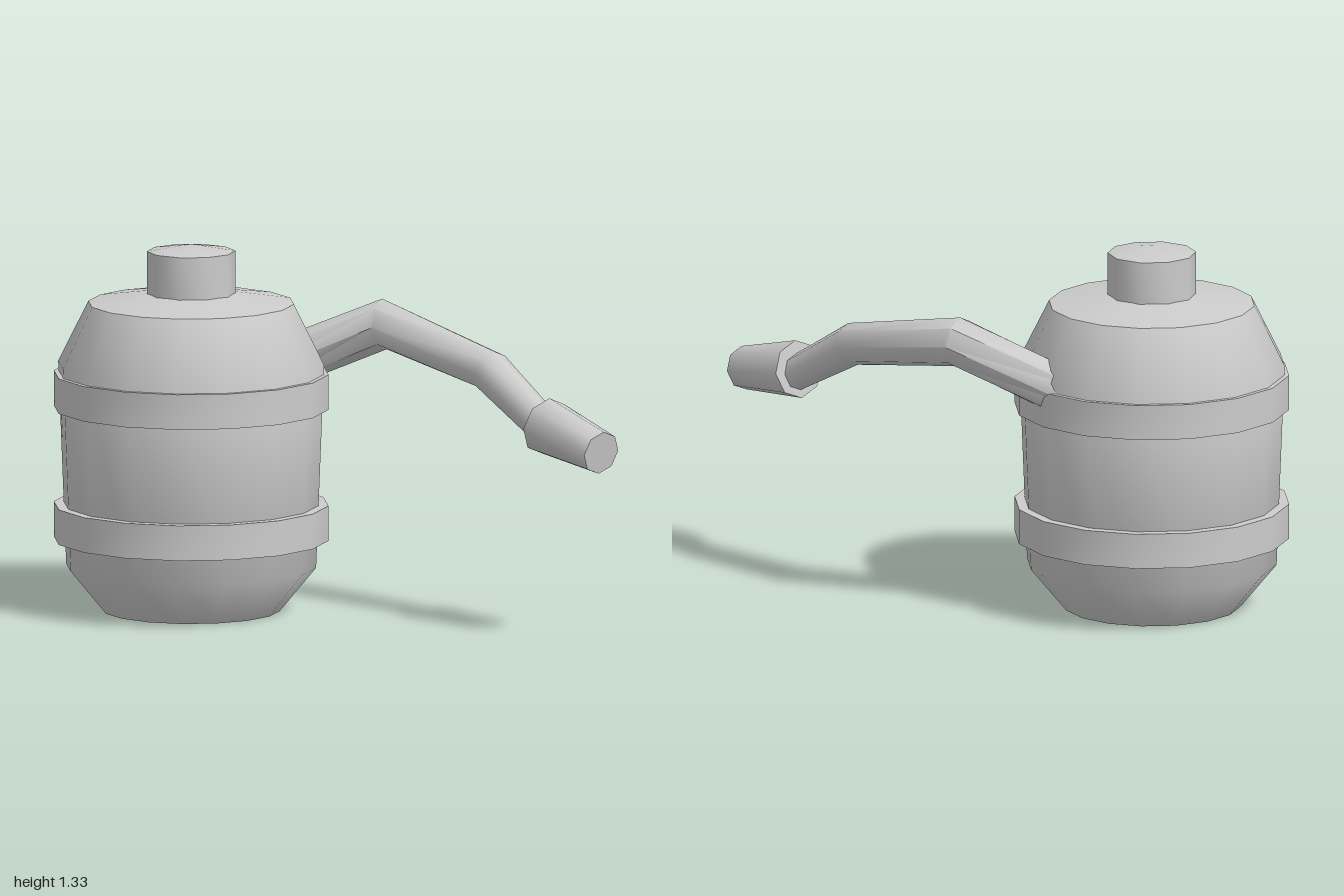
import * as THREE from 'three';
import { toCreasedNormals } from 'three/addons/utils/BufferGeometryUtils.js';

const CREASE = 0.8;

// Tube of straight segments with its own radius at each bend
function bentPipe(stations, sides) {
  const points = stations.map(([x, y, z]) => new THREE.Vector3(x, y, z));
  const up = new THREE.Vector3(0, 1, 0);
  const positions = [];
  const index = [];
  points.forEach((p, i) => {
    const before = points[Math.max(i - 1, 0)];
    const after = points[Math.min(i + 1, points.length - 1)];
    const t = p.clone().sub(before).normalize()
      .add(after.clone().sub(p).normalize()).normalize();
    const u = up.clone().cross(t).normalize();
    const v = t.clone().cross(u);
    const r = stations[i][3];
    for (let j = 0; j < sides; j++) {
      const a = (j / sides) * Math.PI * 2;
      const q = p.clone().addScaledVector(u, r * Math.cos(a)).addScaledVector(v, r * Math.sin(a));
      positions.push(q.x, q.y, q.z);
      if (i < points.length - 1) {
        const a0 = i * sides + j;
        const a1 = i * sides + ((j + 1) % sides);
        index.push(a0, a1, a0 + sides, a1, a1 + sides, a0 + sides);
      }
    }
  });
  const geometry = new THREE.BufferGeometry();
  geometry.setAttribute('position', new THREE.Float32BufferAttribute(positions, 3));
  geometry.setIndex(index);
  return geometry;
}

export function createModel() {
  const model = new THREE.Group();
  model.name = 'tankWithHose';
  const metal = new THREE.MeshStandardMaterial({ color: 0xcccccc });
  metal.name = 'light grey metal';

  const add = (name, geometry, parent) => {
    const mesh = new THREE.Mesh(toCreasedNormals(geometry, CREASE), metal);
    mesh.name = name;
    parent.add(mesh);
    return mesh;
  };

  // Tank, standing towards the back
  const tank = new THREE.Group();
  tank.name = 'tank';
  tank.position.set(-0.154, 0, -0.503);
  model.add(tank);

  const profile = [[0, 0], [0.32, 0], [0.452, 0.16], [0.481, 0.9], [0.372, 1.12], [0.15, 1.155], [0, 1.16]]
    .map(([r, y]) => new THREE.Vector2(r, y));
  add('tankBody', new THREE.LatheGeometry(profile, 16), tank);

  // Two raised bands
  for (const [name, y] of [['lowerBand', 0.323], ['upperBand', 0.801]]) {
    add(name, new THREE.CylinderGeometry(0.497, 0.497, 0.128, 16), tank).position.y = y;
  }

  // Filler cap with a shallow pointed top
  const capProfile = [[0, 1.1], [0.159, 1.1], [0.159, 1.308], [0, 1.333]]
    .map(([r, y]) => new THREE.Vector2(r, y));
  add('fillerCap', new THREE.LatheGeometry(capProfile, 10), tank).rotation.y = Math.PI / 2;

  // Hose bending out of the tank side: x, y, z, radius
  add('hose', bentPipe([
    [0.2, 0.82, -0.557, 0.09],
    [0.488, 1.015, -0.19, 0.092],
    [0.541, 0.907, 0.35, 0.077],
    [0.539, 0.73, 0.685, 0.063],
  ], 8), model);

  // Nozzle, narrowing towards its mouth
  const start = new THREE.Vector3(0.538, 0.748, 0.67);
  const end = new THREE.Vector3(0.538, 0.69, 0.985);
  const axis = end.clone().sub(start);
  const nozzle = add('nozzle', new THREE.CylinderGeometry(0.079, 0.105, axis.length(), 8), model);
  nozzle.position.copy(start).add(end).multiplyScalar(0.5);
  nozzle.quaternion.setFromUnitVectors(new THREE.Vector3(0, 1, 0), axis.normalize());

  return model;
}
